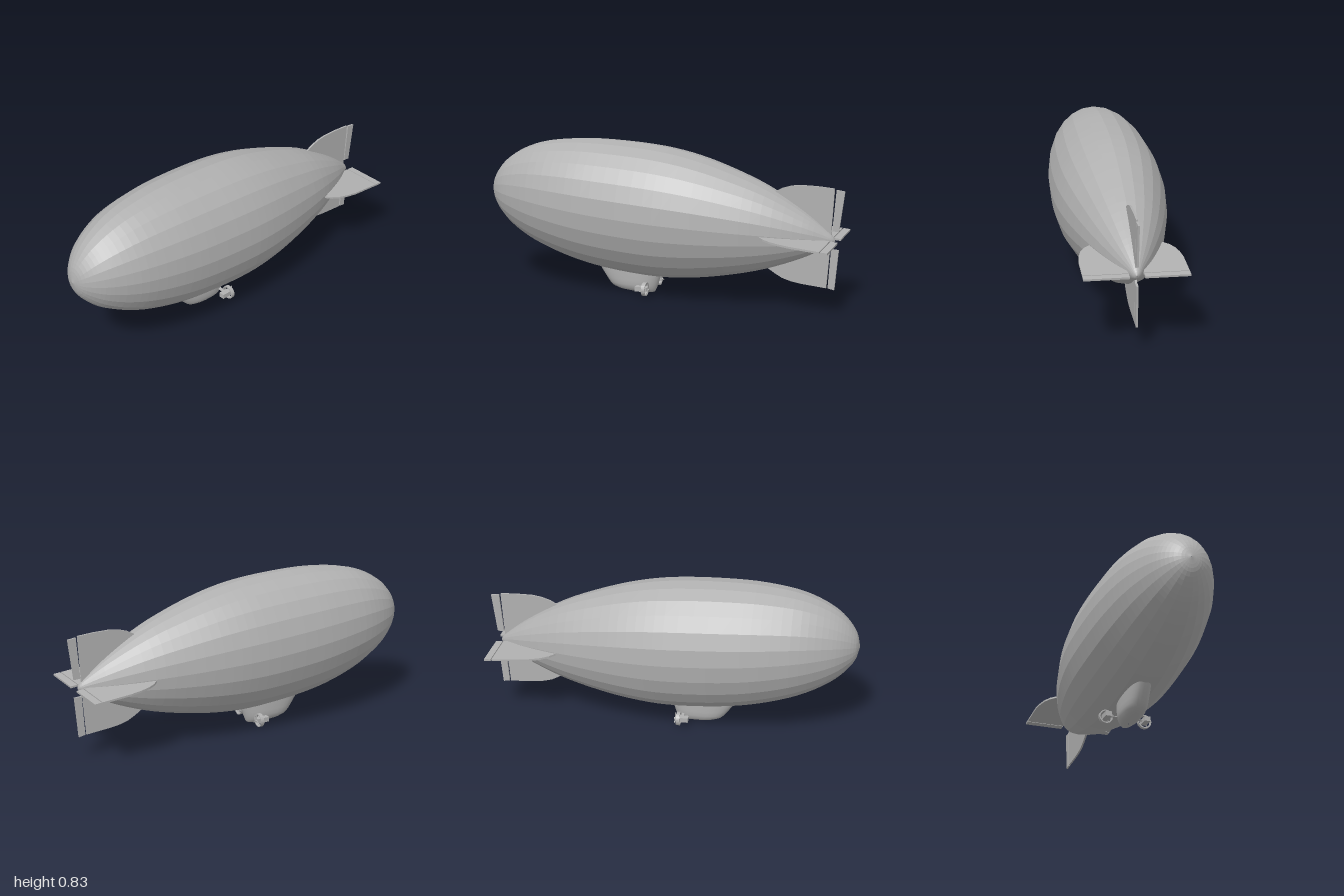
import * as THREE from 'three';

const hullGrey = new THREE.MeshStandardMaterial({ color: 0xb0b0b0, flatShading: true });
hullGrey.name = 'hullGrey';
const smoothGrey = new THREE.MeshStandardMaterial({ color: 0xb0b0b0 });
smoothGrey.name = 'smoothGrey';

function part(parent, name, geometry, material = hullGrey) {
  const mesh = new THREE.Mesh(geometry, material);
  mesh.name = name;
  parent.add(mesh);
  return mesh;
}

// Skin closed rings of equal size into one surface
function loft(rings) {
  const n = rings[0].length, index = [];
  for (let i = 0; i < rings.length - 1; i++) {
    for (let j = 0; j < n; j++) {
      const k = (j + 1) % n, a = i * n + j, b = i * n + k;
      index.push(a, b, a + n, b, b + n, a + n);
    }
  }
  const geometry = new THREE.BufferGeometry();
  geometry.setAttribute('position', new THREE.Float32BufferAttribute(rings.flat(2), 3));
  geometry.setIndex(index);
  geometry.computeVertexNormals();
  return geometry;
}

// Envelope: elliptical 24-sided rings from x, top and bottom heights
function hullGeometry() {
  const stations = [
    [-1, 0.526, 0.524], [-0.98, 0.6, 0.45], [-0.92, 0.68, 0.37], [-0.84, 0.74, 0.305],
    [-0.7, 0.798, 0.23], [-0.5, 0.83, 0.165], [-0.3, 0.836, 0.128], [0, 0.82, 0.108],
    [0.2, 0.785, 0.122], [0.4, 0.725, 0.157], [0.6, 0.645, 0.21], [0.8, 0.528, 0.29],
    [0.9, 0.452, 0.345], [0.945, 0.412, 0.37], [0.957, 0.391, 0.389],
  ];
  const curve = new THREE.CatmullRomCurve3(
    stations.map(([x, t, b]) => new THREE.Vector3(x, (t + b) / 2, (t - b) / 2)));
  const rings = [];
  for (let i = 0; i <= 56; i++) {
    const p = curve.getPoint(i / 56), ring = [];
    for (let j = 0; j < 24; j++) {
      const a = j / 24 * Math.PI * 2;
      ring.push([p.x, p.y + p.z * Math.cos(a), p.z * 0.84 * Math.sin(a)]);
    }
    rings.push(ring);
  }
  return loft(rings);
}

// Gondola: plan outlines stacked downwards [y, front x, back x, half width]
function gondolaGeometry() {
  const levels = [
    [0.15, -0.365, 0.012, 0.062], [0.11, -0.343, 0, 0.062], [0.075, -0.318, -0.012, 0.062],
    [0.05, -0.3, -0.02, 0.061], [0.03, -0.28, -0.027, 0.055], [0.016, -0.245, -0.033, 0.044],
    [0.008, -0.19, -0.038, 0.03], [0.005, -0.13, -0.09, 0.001],
  ];
  return loft(levels.map(([y, front, back, w]) => {
    const ring = [];
    for (let j = 0; j < 32; j++) {
      const a = j / 32 * Math.PI * 2, c = Math.cos(a), s = Math.sin(a);
      const mid = (front + back) / 2, half = (back - front) / 2;
      const width = Math.sign(s) * Math.pow(Math.abs(s), c > 0 ? 1.1 : 0.75);
      ring.push([mid + half * Math.sign(c) * Math.pow(Math.abs(c), 0.8), y, w * width]);
    }
    return ring;
  }));
}

// Flat plate of the given outline, centred on its thickness
function plate(points, thickness = 0.01) {
  const shape = new THREE.Shape(points.map(([x, y]) => new THREE.Vector2(x, y)));
  const geometry = new THREE.ExtrudeGeometry(shape, { depth: thickness, bevelEnabled: false });
  return geometry.translate(0, 0, -thickness / 2);
}

function addEngine(parent, side) {
  const engine = new THREE.Group();
  engine.name = side > 0 ? 'leftEngine' : 'rightEngine';
  engine.position.set(-0.055, 0.05, side * 0.107);
  parent.add(engine);

  const profile = [[0.031, -0.01], [0.037, -0.01], [0.037, 0.01], [0.031, 0.01], [0.031, -0.01]]
    .map(([r, y]) => new THREE.Vector2(r, y));
  part(engine, 'propellerDuct', new THREE.LatheGeometry(profile, 24).rotateZ(-Math.PI / 2));
  part(engine, 'nacelle', new THREE.BoxGeometry(0.07, 0.026, 0.032).translate(-0.018, 0, 0));
  part(engine, 'propellerHub', new THREE.CylinderGeometry(0.005, 0.005, 0.012, 10)
    .rotateZ(Math.PI / 2).translate(0.018, 0, 0));
  for (let i = 0; i < 3; i++) {
    const blade = part(engine, 'propellerBlade', new THREE.BoxGeometry(0.004, 0.032, 0.005).translate(0.018, 0.016, 0));
    blade.rotation.x = Math.PI / 2 + 0.6 + i * Math.PI * 2 / 3;
  }
  part(engine, 'engineStrut', new THREE.BoxGeometry(0.018, 0.005, 0.06).translate(-0.015, 0, -side * 0.036));
}

export function createModel() {
  const model = new THREE.Group();
  model.name = 'airship';

  part(model, 'envelope', hullGeometry());
  part(model, 'gondola', gondolaGeometry(), smoothGrey);

  // Vertical fins and rudders
  part(model, 'upperFin', plate([[0.6, 0.5], [0.935, 0.42], [0.935, 0.44], [0.946, 0.666],
    [0.86, 0.671], [0.77, 0.671], [0.72, 0.664], [0.67, 0.648], [0.62, 0.62]]));
  part(model, 'upperRudder', plate([[0.94, 0.442], [0.975, 0.44], [1, 0.655], [0.956, 0.66]]));
  part(model, 'lowerFin', plate([[0.6, 0.3], [0.6, 0.21], [0.64, 0.185], [0.68, 0.164], [0.73, 0.15],
    [0.78, 0.143], [0.917, 0.133], [0.931, 0.342], [0.92, 0.365]]));
  part(model, 'lowerRudder', plate([[0.925, 0.133], [0.96, 0.127], [0.977, 0.343], [0.937, 0.345]]));

  // Horizontal fins and elevators, nose-up like the hull axis
  for (const side of [1, -1]) {
    const tail = new THREE.Group();
    tail.name = side > 0 ? 'leftTailplane' : 'rightTailplane';
    tail.position.set(0.977, 0.388, 0);
    tail.rotation.z = -0.08;
    model.add(tail);
    const lay = (points) => plate(points).rotateX(side * Math.PI / 2);
    part(tail, 'horizontalFin', lay([[-0.38, 0.1], [-0.042, 0.035], [-0.042, 0.257], [-0.2, 0.257],
      [-0.26, 0.249], [-0.31, 0.235], [-0.35, 0.212], [-0.38, 0.18]]));
    part(tail, 'elevator', lay([[-0.037, 0.037], [0, 0.037], [0, 0.257], [-0.037, 0.257]]));
    addEngine(model, side);
  }
  return model;
}
